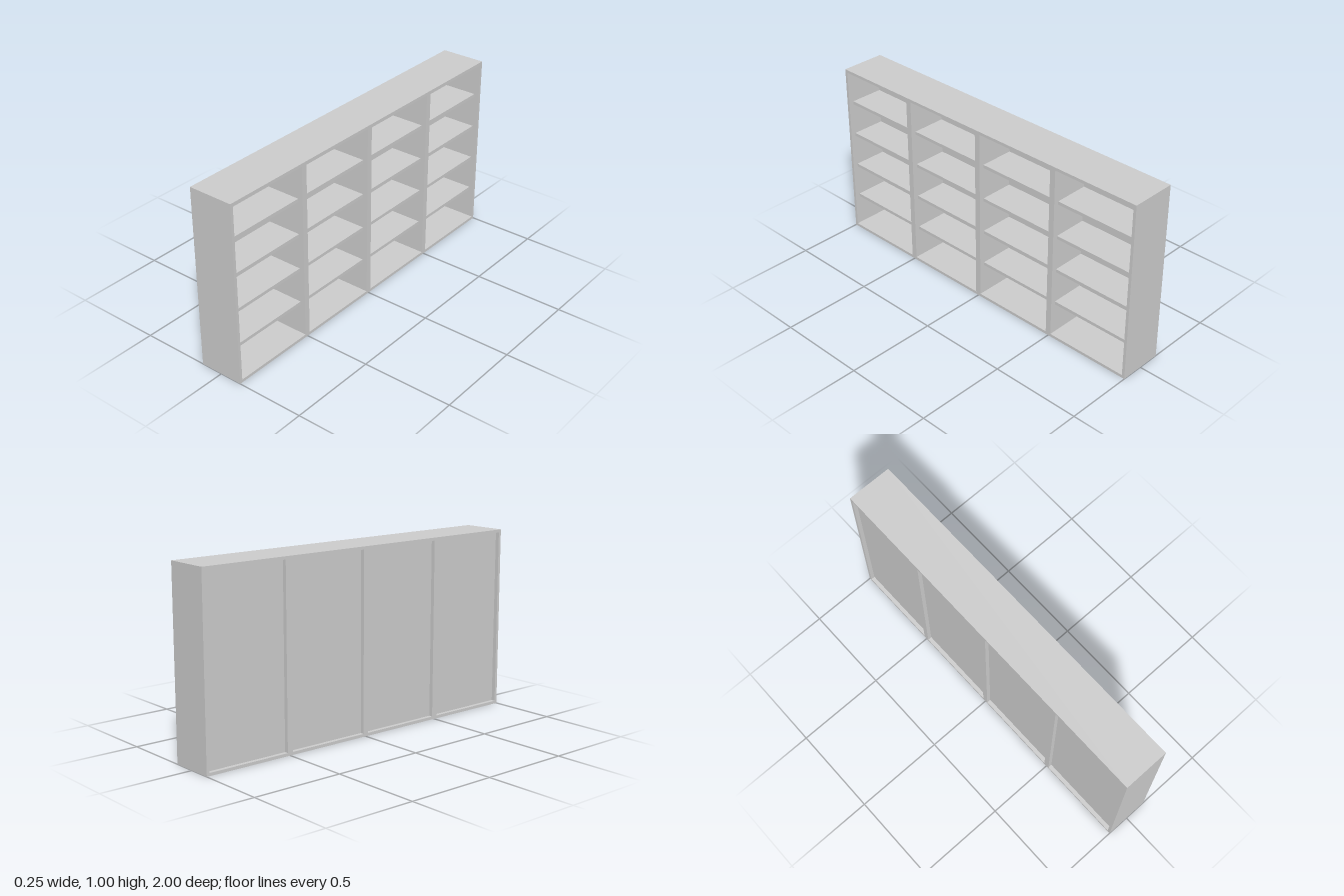
import * as THREE from 'three';

export function createModel() {
  const model = new THREE.Group();
  const material = new THREE.MeshStandardMaterial({ color: 0xcccccc, flatShading: true });

  // Box given by its extents on each axis
  function board(name, [x0, x1], [y0, y1], [z0, z1]) {
    const mesh = new THREE.Mesh(new THREE.BoxGeometry(x1 - x0, y1 - y0, z1 - z0), material);
    mesh.name = name;
    mesh.position.set((x0 + x1) / 2, (y0 + y1) / 2, (z0 + z1) / 2);
    model.add(mesh);
  }

  const depth = [-0.125, 0.125];
  const wall = 0.016;         // outer board thickness
  const divider = 0.032;      // upright thickness between bays
  const panel = [-0.103, -0.093]; // inset back panel
  const shelfDepth = [panel[1], 0.097];
  const inner = [wall, 1 - wall];

  // Outer case
  board('bottomBoard', depth, [0, wall], [-1, 1]);
  board('topBoard', depth, [1 - wall, 1], [-1, 1]);
  board('backEndBoard', depth, inner, [-1, -1 + wall]);
  board('frontEndBoard', depth, inner, [1 - wall, 1]);

  // Uprights between the four bays
  for (const z of [-0.5, 0, 0.5]) {
    board('divider', depth, inner, [z - divider / 2, z + divider / 2]);
  }

  // Back panel and shelves of each bay
  for (let bay = 0; bay < 4; bay++) {
    const z0 = -1 + bay * 0.5 + (bay === 0 ? wall : divider / 2);
    const z1 = -0.5 + bay * 0.5 - (bay === 3 ? wall : divider / 2);
    board('backPanel', panel, inner, [z0, z1]);
    for (let i = 1; i <= 4; i++) {
      const y = 0.198 * i;
      board('shelf', shelfDepth, [y - 0.009, y + 0.009], [z0, z1]);
    }
  }
  return model;
}
